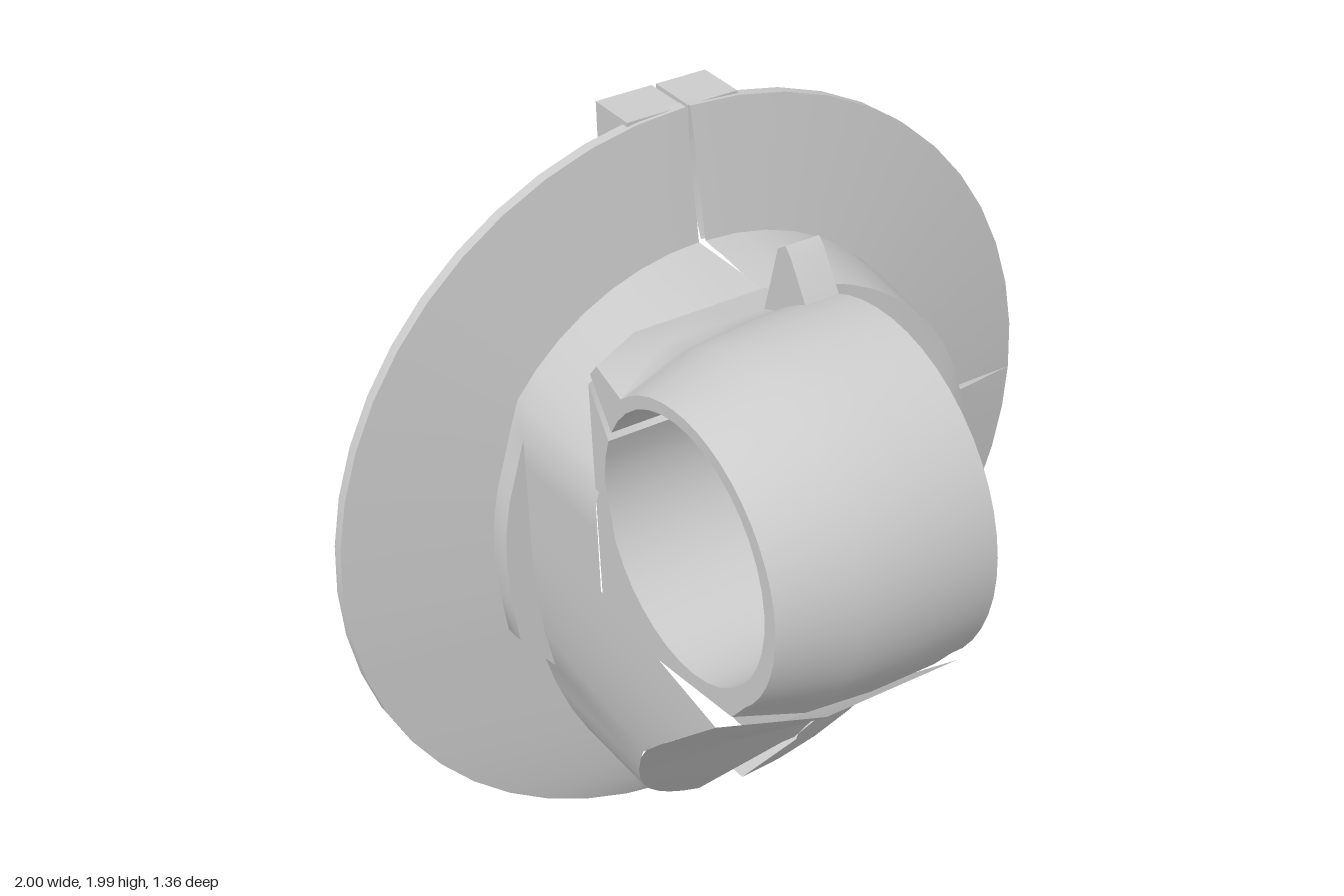
import * as THREE from 'three';
import { toCreasedNormals } from 'three/addons/utils/BufferGeometryUtils.js';

const material = new THREE.MeshStandardMaterial({ color: 0xcccccc, side: THREE.DoubleSide });
const GAP = 0.006; // half width of the slit between the two halves
const rad = THREE.MathUtils.degToRad;

function addMesh(group, name, geometry) {
  const mesh = new THREE.Mesh(toCreasedNormals(geometry, 0.6), material);
  mesh.name = name;
  group.add(mesh);
}

// Piecewise linear lookup in [input, output] pairs
function lerpTable(table, v) {
  if (v <= table[0][0]) return table[0][1];
  for (let i = 1; i < table.length; i++) {
    const [a, p] = table[i - 1], [b, q] = table[i];
    if (v <= b) return p + (q - p) * (v - a) / (b - a);
  }
  return table[table.length - 1][1];
}

// Skin over columns, each a list of [x, y, z] points
function skin(columns, flip) {
  const n = columns[0].length, index = [];
  for (let i = 0; i < columns.length - 1; i++) {
    for (let j = 0; j < n - 1; j++) {
      const a = i * n + j, b = a + n;
      if (flip) index.push(a, a + 1, b, b, a + 1, b + 1);
      else index.push(a, b, a + 1, b, b + 1, a + 1);
    }
  }
  const geometry = new THREE.BufferGeometry();
  geometry.setAttribute('position', new THREE.Float32BufferAttribute(columns.flat(2), 3));
  geometry.setIndex(index);
  return geometry;
}

// Side profile in (z, y), extruded towards -x
function sideExtrude(points, depth, steps = 1) {
  const shape = new THREE.Shape(points.map(([z, y]) => new THREE.Vector2(z, y)));
  const geometry = new THREE.ExtrudeGeometry(shape, { depth, steps, bevelEnabled: false });
  return geometry.rotateY(-Math.PI / 2).translate(-GAP, 0, 0);
}

function arc(cz, cy, r, from, to, n) {
  return range(from, to, n).map(a => [cz + r * Math.cos(rad(a)), cy + r * Math.sin(rad(a))]);
}

const range = (from, to, n) => Array.from({ length: n + 1 }, (_, i) => from + (to - from) * i / n);
const polar = (side, r, deg, cy, z) =>
  [side * (GAP + r * Math.cos(rad(deg))), cy + r * Math.sin(rad(deg)), z];

// Flange back and edge, from the inner slope outwards
const flangeBack = (side, a, innerR) => [
  polar(side, Math.max(0.82, innerR + 0.01), a, 1, -0.56),
  polar(side, 0.997, a, 1, -0.56), polar(side, 0.997, a, 1, -0.53),
];

// Front depth of the slanted underside by height
const slant = [[0.07, -0.5], [0.08, -0.36], [0.4, -0.1], [0.67, 0.1], [0.77, 0.22], [1.1, 0.6]];
// Depth of the bowl rim, its bulging face and the hole edge by angle
const rimZ = [[-90, -0.1], [-60, -0.11], [-30, -0.16], [0, -0.24], [90, -0.22]];
const faceZ = [[-90, 0], [-60, 0.02], [-30, -0.04], [0, -0.18], [30, -0.21], [90, -0.22]];
const holeZ = [[-90, 0.1], [-60, 0.05], [-28, -0.08], [0, -0.16], [45, -0.2], [90, -0.22]];

// Flange, bowl, bottom pocket and tube of the open half in one skin
function openHalf() {
  const column = (a, zone) => {
    const t = (a + 60) / 57; // along the side lip
    const pocket = zone === 'pocket', rim = lerpTable(rimZ, a);
    const [r, cy, z] = pocket ? [0.925, 1, -0.37]
      : zone === 'lip' ? [0.68 + 0.04 * t, 1, -0.22 - 0.24 * t] : [0.64, 1.02, -0.44];
    return [
      polar(1, r, a, cy, -0.5), ...flangeBack(1, a, r),
      polar(1, r + 0.005, a, cy, pocket ? -0.52 : -0.48), polar(1, r, a, cy, z),
      polar(1, 0.64, a, 1.02, pocket ? rim - 0.01 : z + 0.03),
      polar(1, 0.615, a, 1.02, rim),
      polar(1, 0.48, a, 1.01, lerpTable(faceZ, a)),
      polar(1, 0.32, a, 1, lerpTable(holeZ, a)), polar(1, 0.32, a, 1, -0.42),
    ];
  };
  return skin([
    ...range(-90, -60, 4).map(a => column(a, 'pocket')),
    ...range(-60, -3, 8).map(a => column(a, 'lip')),
    ...range(-3, 90, 12).map(a => column(a, 'bowl')),
  ]);
}

// Outline where the closed half meets the flange
function closedOutline(a) {
  const c = Math.cos(rad(a)), s = Math.sin(rad(a));
  return a <= 0 ? [0.54 * c, 1 + 0.93 * s] : [Math.min(0.54, 0.65 * c), 1 + 0.66 * s];
}

// The outer edge of the underside falls back towards the side
const outerZ = (x, y) => lerpTable(slant, y) - 0.01 - 0.17 * x;

function closedHalf() {
  return skin(range(-90, 90, 24).map(a => {
    const [x, y] = closedOutline(a);
    const lip = a > -17 && a < 27 ? Math.max(x, 0.61 * Math.cos(rad(a))) : x;
    const front = a <= 0 ? outerZ(x, y) : x > 0.5 ? -0.1 : -0.21;
    const at = (px, z) => [-GAP - px, y, z];
    return [
      at(x, -0.5), ...flangeBack(-1, a, Math.hypot(x, y - 1)),
      at(lip, -0.49), at(lip, Math.min(-0.43, front)), at(x, Math.min(-0.43, front)), at(x, front),
    ];
  }), true);
}

// Scooped underside from the outer edge over a crease to the parting wall
function underside() {
  return skin(range(-90, 0, 14).map(a => {
    const [x, y] = closedOutline(a);
    const cy = 1.06 + 0.66 * Math.sin(rad(a)), z = lerpTable(slant, cy);
    return [
      [-GAP - x, y, outerZ(x, y)],
      [-GAP - 0.36 * Math.cos(rad(a)), cy, z],
      [-GAP, cy, z],
    ];
  }), true);
}

// Cross clamp: C-shaped ring with a diagonal slit, drawn at its narrow outer
// end and widened towards the parting plane
function clamp() {
  const geometry = sideExtrude([
    [-0.21, 1.0], [0.435, 1.06], ...arc(0.25, 1.39, 0.36, -49, 130, 24),
    [-0.08, 1.7], [-0.21, 1.665], ...arc(0.25, 1.4, 0.32, 151, -203, 36), [-0.22, 1.635],
  ], 0.53, 3);
  const p = geometry.attributes.position;
  for (let i = 0; i < p.count; i++) {
    const x = p.getX(i), dz = p.getZ(i) - 0.25, dy = p.getY(i) - 1.39, r = Math.hypot(dz, dy);
    if (x < -0.5) {
      if (dz < -0.45) p.setZ(i, p.getZ(i) + 0.1);
    } else if (r > 0.345 && r < 0.39) {
      const k = (x < -0.3 ? 0.415 : 0.43) / 0.36;
      p.setZ(i, 0.25 + dz * k);
      p.setY(i, 1.39 + dy * k);
    }
  }
  return geometry;
}

export function createModel() {
  const model = new THREE.Group();
  model.name = 'splitClampHousing';

  addMesh(model, 'openHalfShell', openHalf());
  addMesh(model, 'closedHalfShell', closedHalf());
  addMesh(model, 'underside', underside());
  addMesh(model, 'crossClamp', clamp());

  // Solid parting wall below the clamp
  addMesh(model, 'partingWall', sideExtrude(
    [[0.46, 1.0], [0.21, 0.77], [0.09, 0.675], [-0.21, 0.675], [-0.21, 1.0]], 0.27));

  // Rear half tube of the closed half
  addMesh(model, 'rearHalfTube', skin(range(-90, 90, 10).map(a =>
    [polar(-1, 0.32, a, 1, -0.21), polar(-1, 0.32, a, 1, -0.42)])));

  // Lug on top of the clamp
  addMesh(model, 'clampLug', sideExtrude(
    [[0.09, 1.78], [0.03, 1.88], [0.01, 1.9], [-0.02, 1.88], [-0.08, 1.69]], 0.09));

  // Pair of tabs at the back of the flange
  for (const [name, x, width] of [['leftTab', 0.075, 0.138], ['rightTab', -0.083, 0.154]]) {
    const tab = new THREE.BoxGeometry(width, 0.09, 0.14);
    addMesh(model, name, tab.translate(x, 1.95, -0.61));
  }
  return model;
}
